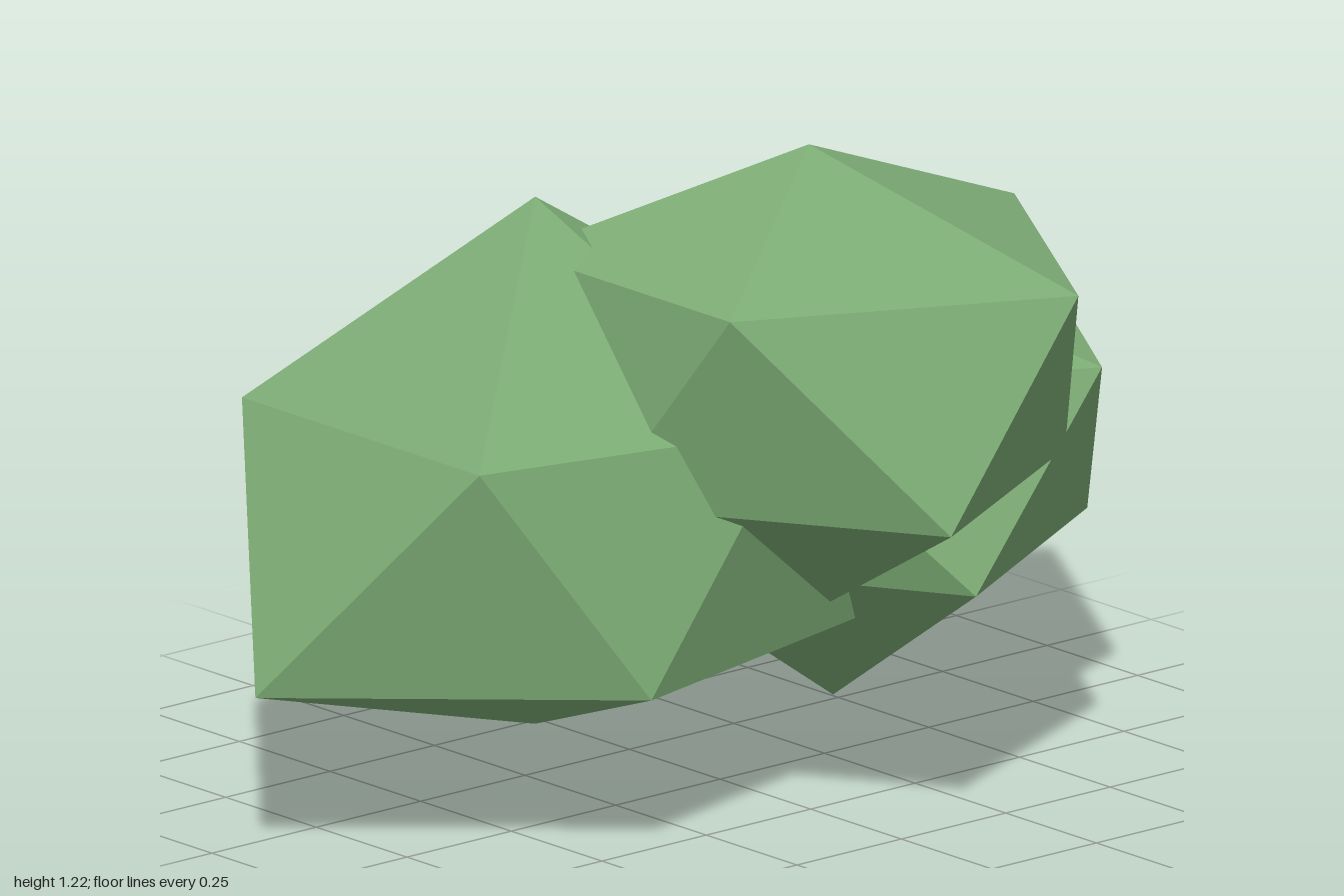
import * as THREE from 'three';

// Which x and z level each ring corner uses (rings of five, apex at +x above, -x below)
const UPPER = [[6, 2], [4, 4], [1, 3], [1, 1], [4, 0]];
const LOWER = [[5, 3], [2, 4], [0, 2], [2, 0], [5, 1]];

// Faceted twenty-sided clump with uneven spacing along each axis.
// xs: 7 levels, ys: bottom, lower ring, upper ring, top; zs: 5 levels
function clumpGeometry(xs, ys, zs) {
  const ring = (table, y) => table.map(([i, j]) => [xs[i], y, zs[j]]);
  const bottom = [xs[3], ys[0], zs[2]];
  const top = [xs[3], ys[3], zs[2]];
  const low = ring(LOWER, ys[1]);
  const up = ring(UPPER, ys[2]);
  const points = [];
  for (let i = 0; i < 5; i++) {
    const n = (i + 1) % 5;
    points.push(top, up[n], up[i]);
    points.push(up[i], up[n], low[i]);
    points.push(low[i], up[n], low[n]);
    points.push(bottom, low[i], low[n]);
  }
  const geometry = new THREE.BufferGeometry();
  geometry.setAttribute('position', new THREE.Float32BufferAttribute(points.flat(), 3));
  geometry.computeVertexNormals(); // unshared corners give flat facets
  return geometry;
}

export function createModel() {
  const group = new THREE.Group();
  group.name = 'bush';
  const leaf = new THREE.MeshStandardMaterial({ color: 0x7cab74 });
  leaf.name = 'leaf green';

  const clumps = [
    {
      name: 'rightClump',
      xs: [-1, -0.75, -0.47, -0.33, -0.13, 0.15, 0.27],
      ys: [0.14, 0.32, 0.765, 1.135],
      zs: [-0.714, -0.455, -0.13, 0.2, 0.352],
    },
    {
      name: 'frontClump',
      xs: [-0.42, -0.345, -0.065, 0.085, 0.24, 0.457, 0.577],
      ys: [0.33, 0.63, 1.026, 1.215],
      zs: [-0.235, -0.16, 0.147, 0.425, 0.712],
    },
    {
      name: 'leftClump',
      xs: [0.02, 0.07, 0.355, 0.505, 0.657, 0.875, 1],
      ys: [0, 0.342, 0.716, 0.838],
      zs: [-0.655, -0.577, -0.27, 0.005, 0.297],
    },
  ];
  for (const { name, xs, ys, zs } of clumps) {
    const mesh = new THREE.Mesh(clumpGeometry(xs, ys, zs), leaf);
    mesh.name = name;
    group.add(mesh);
  }
  return group;
}
